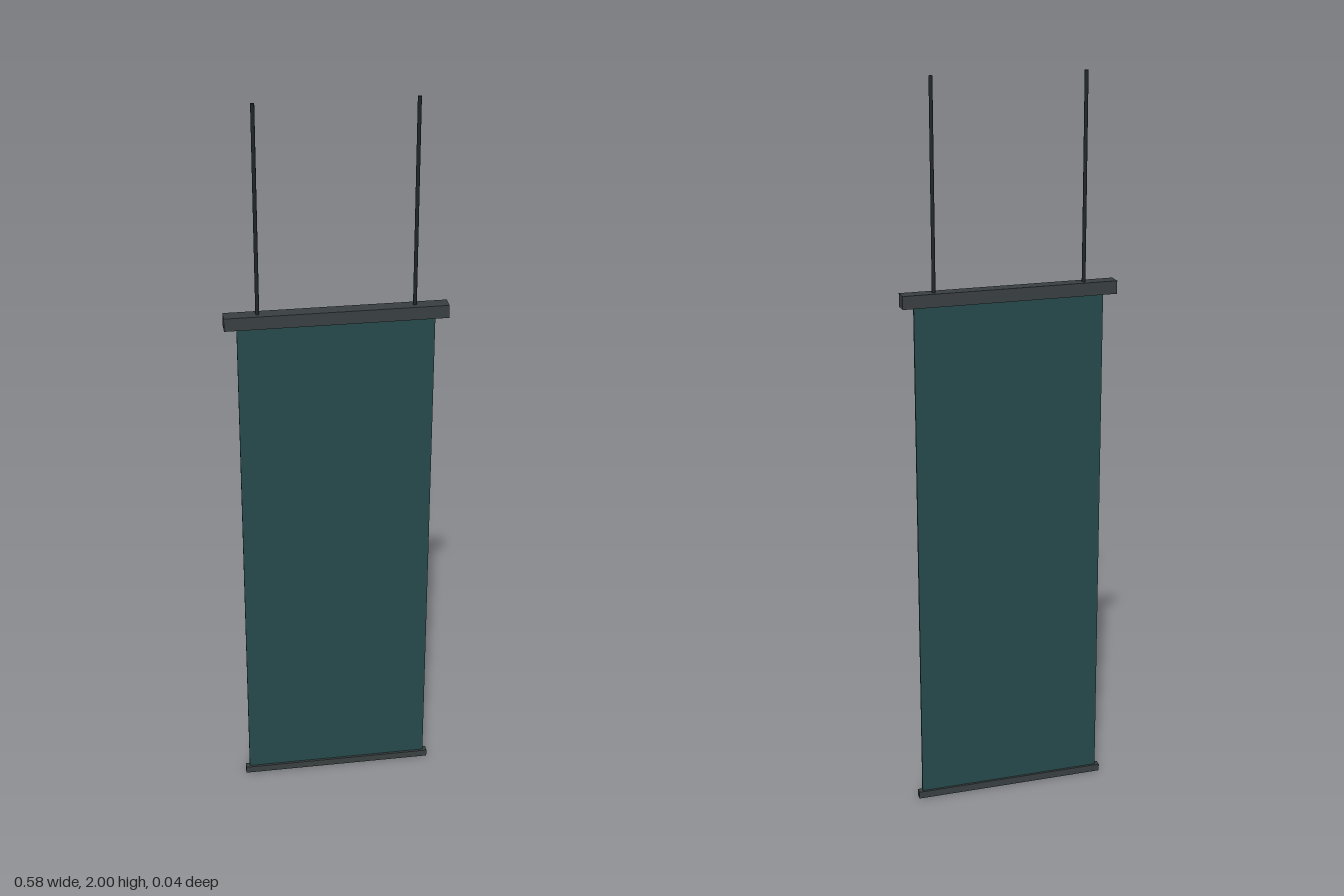
import * as THREE from 'three';

const clothMaterial = new THREE.MeshStandardMaterial({ color: 0x25494b });
const railMaterial = new THREE.MeshStandardMaterial({ color: 0x383e40 });
const rodMaterial = new THREE.MeshStandardMaterial({ color: 0x1e2528 });

export function createModel() {
  const model = new THREE.Group();
  model.name = 'hangingBanner';

  const add = (name, geometry, material, x, y) => {
    const mesh = new THREE.Mesh(geometry, material);
    mesh.name = name;
    mesh.position.set(x, y, 0);
    model.add(mesh);
  };

  // A box centred on x and z, spanning two heights
  const addBar = (name, width, bottom, top, depth, material) =>
    add(name, new THREE.BoxGeometry(width, top - bottom, depth), material, 0, (bottom + top) / 2);

  // Cloth between a heavy top rail and a slim bottom weight
  addBar('topRail', 0.58, 1.42, 1.455, 0.038, railMaterial);
  addBar('clothPanel', 0.514, 0.01, 1.43, 0.006, clothMaterial);
  addBar('bottomBar', 0.536, 0, 0.02, 0.019, railMaterial);

  // Two rods carrying the rail
  for (const [side, name] of [[1, 'leftRod'], [-1, 'rightRod']]) {
    add(name, new THREE.CylinderGeometry(0.005, 0.005, 0.56, 12), rodMaterial, side * 0.203, 1.72);
  }

  return model;
}
